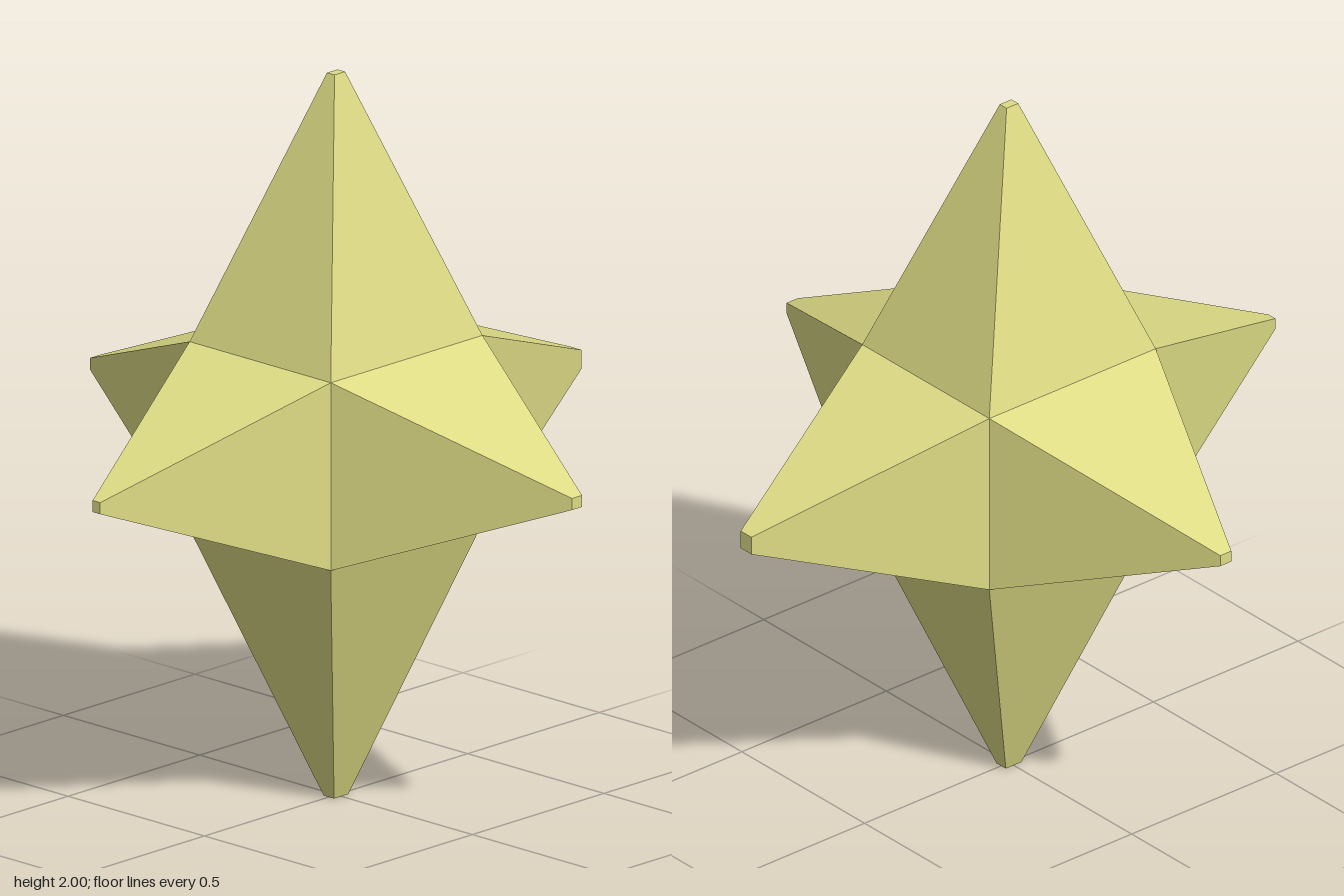
import * as THREE from 'three';

const CENTER_Y = 1.003;
const CORE = [0.288, 0.26, 0.259]; // half sizes of the hidden box the spikes grow from
const CORNERS = [[1, 1], [-1, 1], [-1, -1], [1, -1]];

// Four-sided spike with a small blunt tip, growing from one face of the core
function spikeGeometry(axis, sign, reach, tip) {
  const b = (axis + 1) % 3, c = (axis + 2) % 3;
  const ring = (distance, halfB, halfC) => CORNERS.map(([sb, sc]) => {
    const p = [0, 0, 0];
    p[axis] = sign * distance;
    p[b] = sb * halfB;
    p[c] = sc * halfC;
    return p;
  });
  const base = ring(CORE[axis], CORE[b], CORE[c]);
  const end = ring(reach, tip[b], tip[c]);
  const positions = [];
  const quad = (p, q, r, s) => {
    const order = sign > 0 ? [p, q, r, p, r, s] : [p, r, q, p, s, r];
    order.forEach(v => positions.push(...v));
  };
  for (let i = 0; i < 4; i++) {
    const j = (i + 1) % 4;
    quad(base[i], base[j], end[j], end[i]);
  }
  quad(...end);
  const geometry = new THREE.BufferGeometry();
  geometry.setAttribute('position', new THREE.Float32BufferAttribute(positions, 3));
  geometry.computeVertexNormals();
  return geometry;
}

export function createModel() {
  const model = new THREE.Group();
  model.name = 'spikedStar';
  const paleYellow = new THREE.MeshStandardMaterial({ color: 0xdedc85 });
  paleYellow.name = 'paleYellow';

  // name, axis, direction, distance of the tip from the centre, half sizes of the tip
  const spikes = [
    ['topSpike', 1, 1, 2 - CENTER_Y, [0.02, 0, 0.014]],
    ['bottomSpike', 1, -1, CENTER_Y, [0.027, 0, 0.019]],
    ['leftSpike', 0, 1, 0.91, [0, 0.026, 0.022]],
    ['rightSpike', 0, -1, 0.91, [0, 0.016, 0.014]],
    ['frontSpike', 2, 1, 0.884, [0.019, 0.016, 0]],
    ['backSpike', 2, -1, 0.884, [0.019, 0.016, 0]],
  ];
  for (const [name, axis, sign, reach, tip] of spikes) {
    const mesh = new THREE.Mesh(spikeGeometry(axis, sign, reach, tip), paleYellow);
    mesh.name = name;
    mesh.position.y = CENTER_Y;
    model.add(mesh);
  }
  return model;
}
